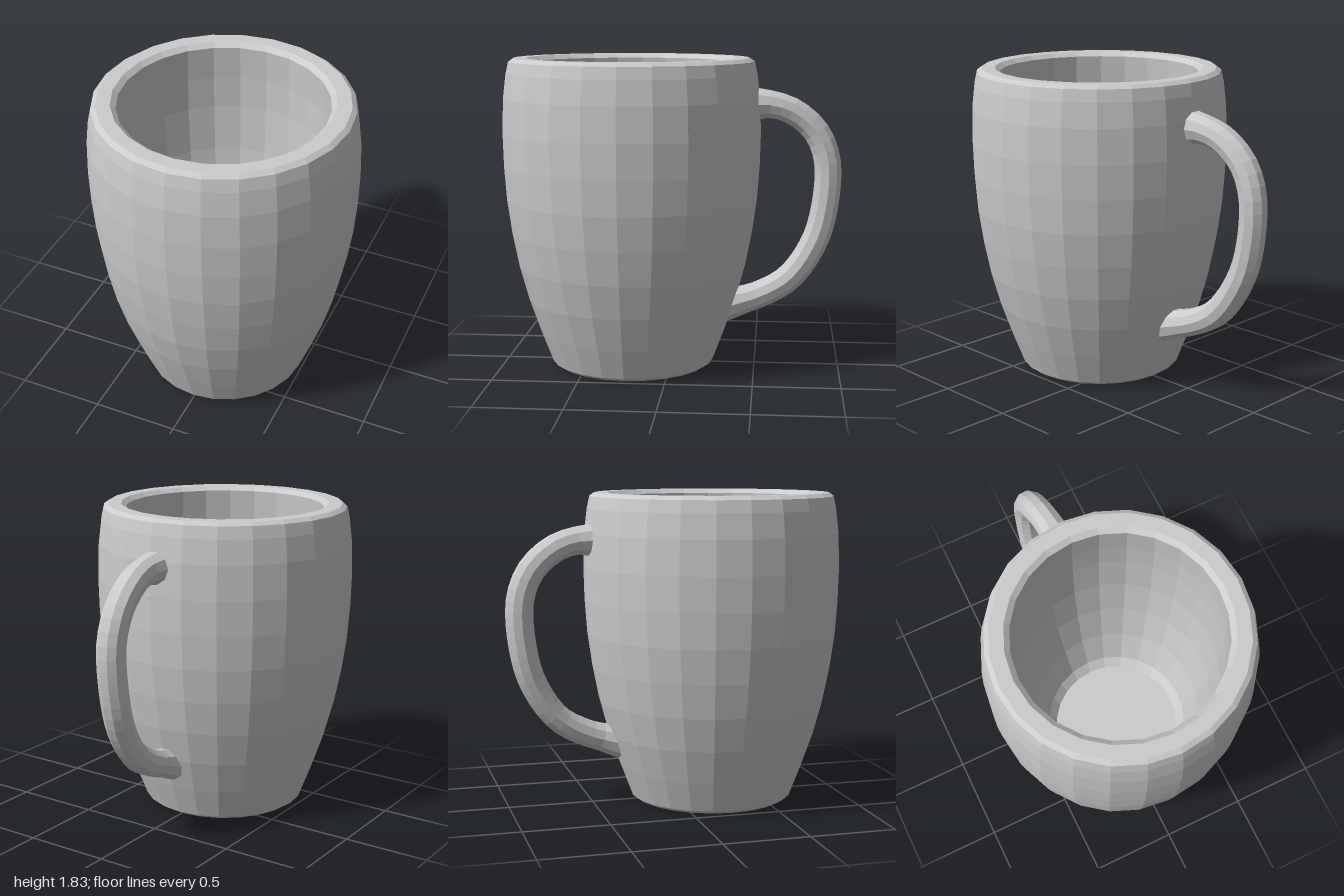
import * as THREE from 'three';

const CUP_Z = 0.235; // cup axis, shifted forward of the handle
const material = new THREE.MeshStandardMaterial({ color: 0xcccccc, flatShading: true });

// Tube whose thickness follows radiusAt(t) along the path
function taperedTube(path, segments, sides, radiusAt) {
  const geometry = new THREE.TubeGeometry(path, segments, 1, sides);
  const position = geometry.attributes.position;
  const vertex = new THREE.Vector3();
  for (let i = 0; i <= segments; i++) {
    const centre = path.getPointAt(i / segments);
    for (let j = 0; j <= sides; j++) {
      const k = i * (sides + 1) + j;
      vertex.fromBufferAttribute(position, k).sub(centre);
      vertex.multiplyScalar(radiusAt(i / segments)).add(centre);
      position.setXYZ(k, vertex.x, vertex.y, vertex.z);
    }
  }
  geometry.computeVertexNormals();
  return geometry;
}

// Cup: one closed profile, base to rim on the outside, then down to the inner floor
function makeCup() {
  const profile = [
    [0, 0], [0.455, 0], [0.485, 0.02], [0.553, 0.2], [0.622, 0.4], [0.676, 0.6],
    [0.715, 0.8], [0.743, 1.0], [0.757, 1.2], [0.762, 1.4], [0.755, 1.6],
    [0.738, 1.74], [0.722, 1.81], [0.695, 1.83], [0.615, 1.83], [0.585, 1.805],
    [0.597, 1.6], [0.6, 1.4], [0.588, 1.1], [0.555, 0.8], [0.5, 0.5],
    [0.43, 0.26], [0.385, 0.2], [0, 0.2],
  ].map(([r, y]) => new THREE.Vector2(r, y));
  const cup = new THREE.Mesh(new THREE.LatheGeometry(profile, 24), material);
  cup.name = 'cup';
  cup.position.z = CUP_Z;
  return cup;
}

// Handle: bent loop at the back, flared where it meets the wall
function makeHandle() {
  const path = new THREE.CatmullRomCurve3([
    [-0.02, 1.56, -0.45], [-0.02, 1.56, -0.58], [-0.03, 1.52, -0.71],
    [-0.04, 1.4, -0.85], [-0.04, 1.22, -0.92], [-0.04, 0.88, -0.895],
    [-0.03, 0.69, -0.825], [-0.02, 0.52, -0.7], [-0.01, 0.43, -0.55],
    [0, 0.385, -0.42], [0, 0.36, -0.32],
  ].map((p) => new THREE.Vector3(...p)));
  const radiusAt = (t) => {
    const fromEnd = Math.min(t, 1 - t);
    return 0.081 + 0.024 * Math.max(0, 1 - fromEnd / 0.08);
  };
  const handle = new THREE.Mesh(taperedTube(path, 28, 10, radiusAt), material);
  handle.name = 'handle';
  return handle;
}

export function createModel() {
  const mug = new THREE.Group();
  mug.name = 'mug';
  mug.add(makeCup(), makeHandle());
  return mug;
}
